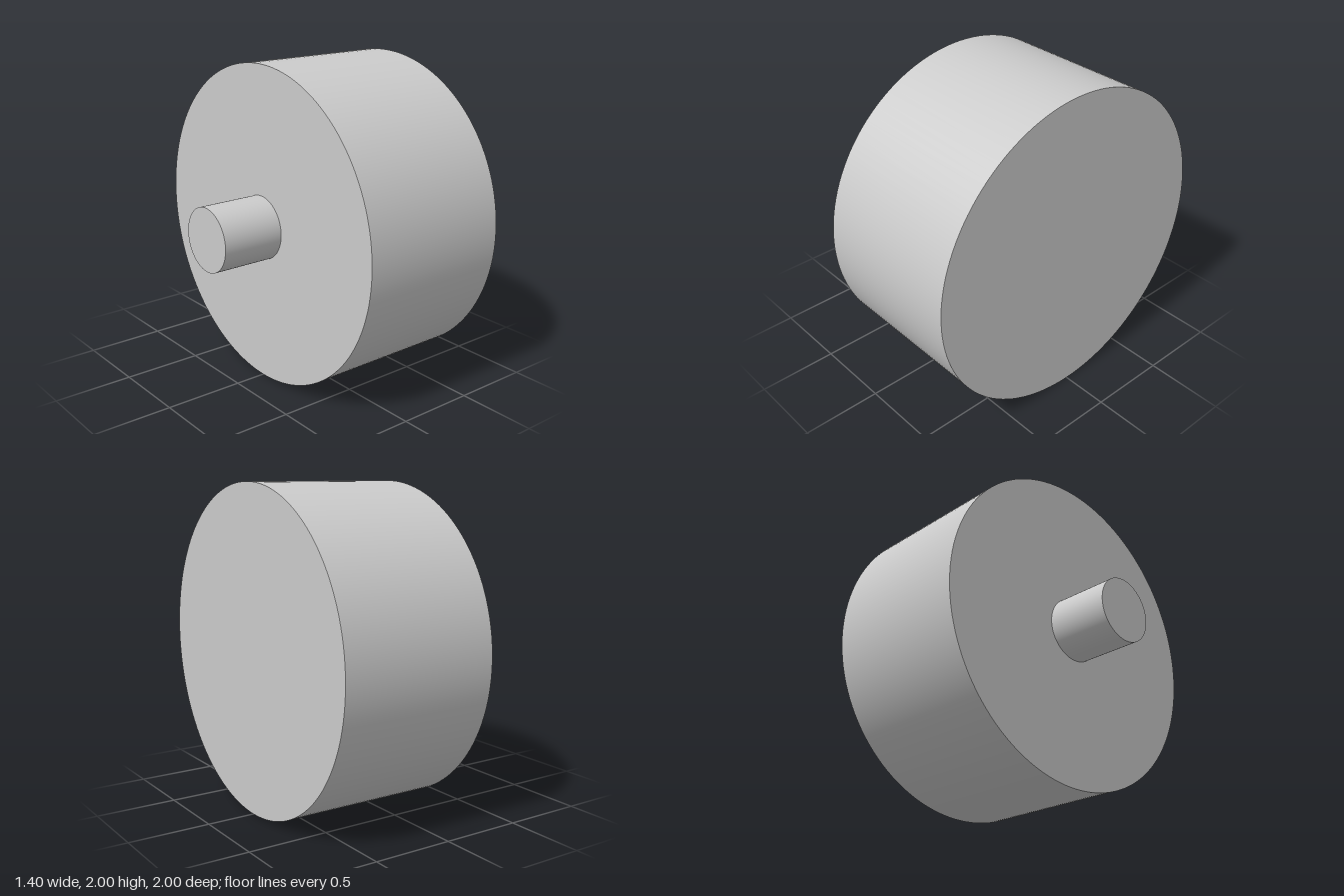
import * as THREE from 'three';

const material = new THREE.MeshStandardMaterial({ color: 0xcccccc });

// Solid round bar lying along x, from x0 to x1, on the common axis at y = 1
function roundBar(name, radius, x0, x1) {
  const geometry = new THREE.CylinderGeometry(radius, radius, x1 - x0, 128);
  geometry.rotateZ(-Math.PI / 2);
  const mesh = new THREE.Mesh(geometry, material);
  mesh.name = name;
  mesh.position.set((x0 + x1) / 2, 1, 0);
  return mesh;
}

export function createModel() {
  const model = new THREE.Group();
  model.name = 'wheelWithAxle';
  model.add(
    roundBar('wheel', 1, -0.3, 0.7),
    roundBar('axleStub', 0.2, -0.7, -0.3),
  );
  return model;
}
